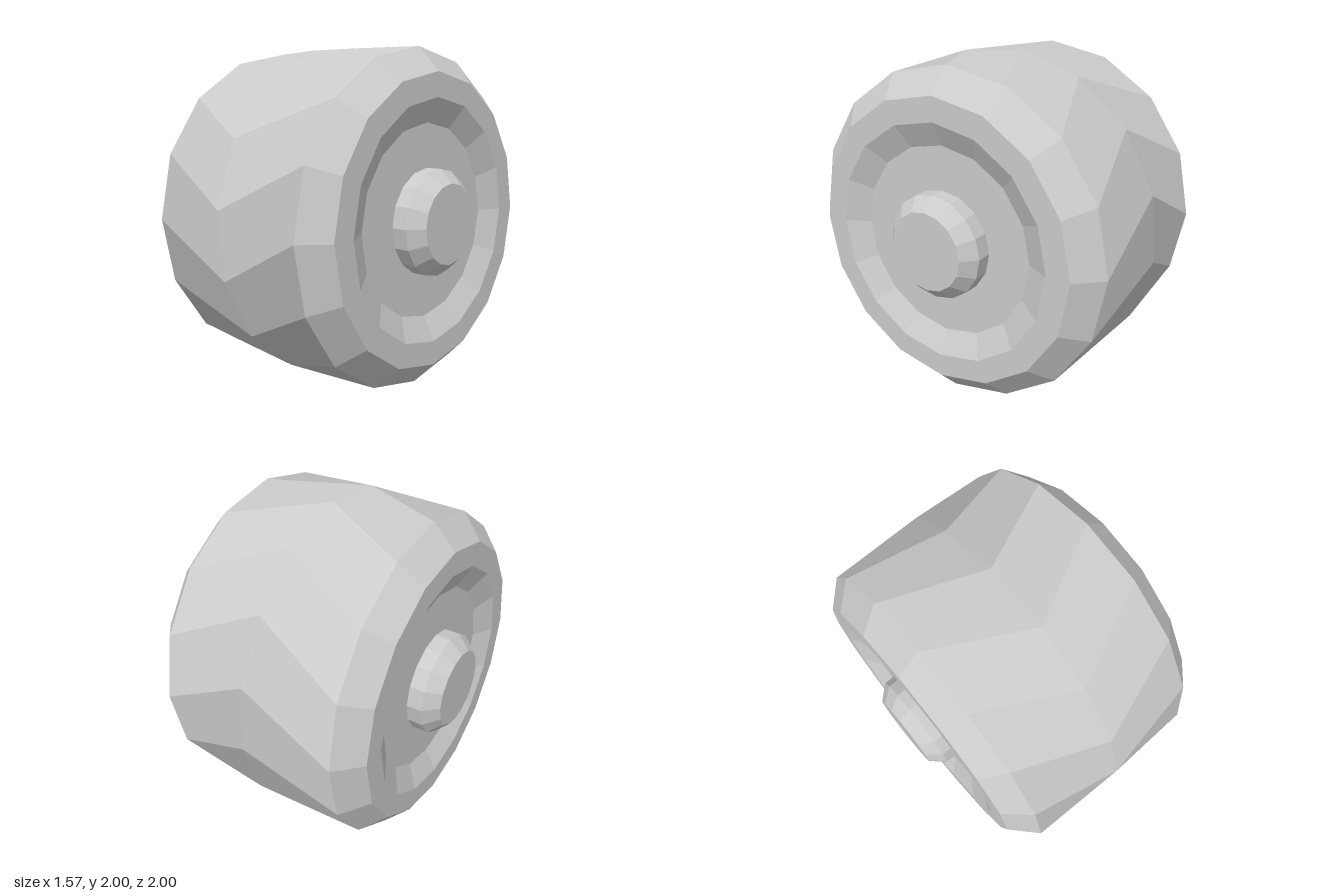
import * as THREE from 'three';

const SIDES = 16;
const STEP = (Math.PI * 2) / SIDES;
const TWIST = THREE.MathUtils.degToRad(16.2); // offset of the middle ring, makes the chevrons

const material = new THREE.MeshStandardMaterial({ color: 0xcccccc, flatShading: true });
const treadMaterial = new THREE.MeshStandardMaterial({ color: 0xcccccc });

// Point on a ring around the x axis; angle runs from the top towards the front
const ringPoint = (x, r, a) => new THREE.Vector3(x, r * Math.cos(a), r * Math.sin(a));

// Tread: two bands between the shoulder rings and the twisted middle ring,
// every four-sided facet sharing one normal
function treadGeometry() {
  const positions = [], normals = [];
  for (const s of [1, -1]) {
    for (let i = 0; i < SIDES; i++) {
      const a = i * STEP;
      const A = ringPoint(0.55 * s, 0.98, a);
      const B = ringPoint(0.55 * s, 0.98, a + STEP);
      const C = ringPoint(0, 1.006, a + STEP + TWIST);
      const D = ringPoint(0, 1.006, a + TWIST);
      const n = C.clone().sub(A).cross(B.clone().sub(D)).normalize();
      if (n.dot(A.clone().add(C)) < 0) n.negate();
      const corners = s > 0 ? [A, D, B, B, D, C] : [A, B, D, B, C, D];
      for (const p of corners) {
        positions.push(p.x, p.y, p.z);
        normals.push(n.x, n.y, n.z);
      }
    }
  }
  const g = new THREE.BufferGeometry();
  g.setAttribute('position', new THREE.Float32BufferAttribute(positions, 3));
  g.setAttribute('normal', new THREE.Float32BufferAttribute(normals, 3));
  return g;
}

// Turned part around the x axis from [radius, x] pairs
function turned(name, profile) {
  const g = new THREE.LatheGeometry(profile.map(([r, x]) => new THREE.Vector2(r, x)), SIDES);
  g.rotateZ(-Math.PI / 2);
  const mesh = new THREE.Mesh(g, material);
  mesh.name = name;
  return mesh;
}

// One side of the wheel: shoulder, sidewall, recessed disc and hub
function wheelSide(name) {
  const side = new THREE.Group();
  side.name = name;
  side.add(
    turned('sidewall', [[0.98, 0.55], [0.84, 0.685], [0.7, 0.685]]),
    turned('recessedDisc', [[0.7, 0.685], [0.56, 0.615], [0, 0.615]]),
    turned('hub', [[0.305, 0.615], [0.305, 0.705], [0.23, 0.785], [0, 0.785]])
  );
  return side;
}

export function createModel() {
  const wheel = new THREE.Group();
  wheel.name = 'wheel';

  const tread = new THREE.Mesh(treadGeometry(), treadMaterial);
  tread.name = 'tread';

  const left = wheelSide('leftSide');
  const right = wheelSide('rightSide');
  right.rotation.y = Math.PI;

  wheel.add(tread, left, right);
  wheel.position.y = 1;

  const model = new THREE.Group();
  model.add(wheel);
  return model;
}
